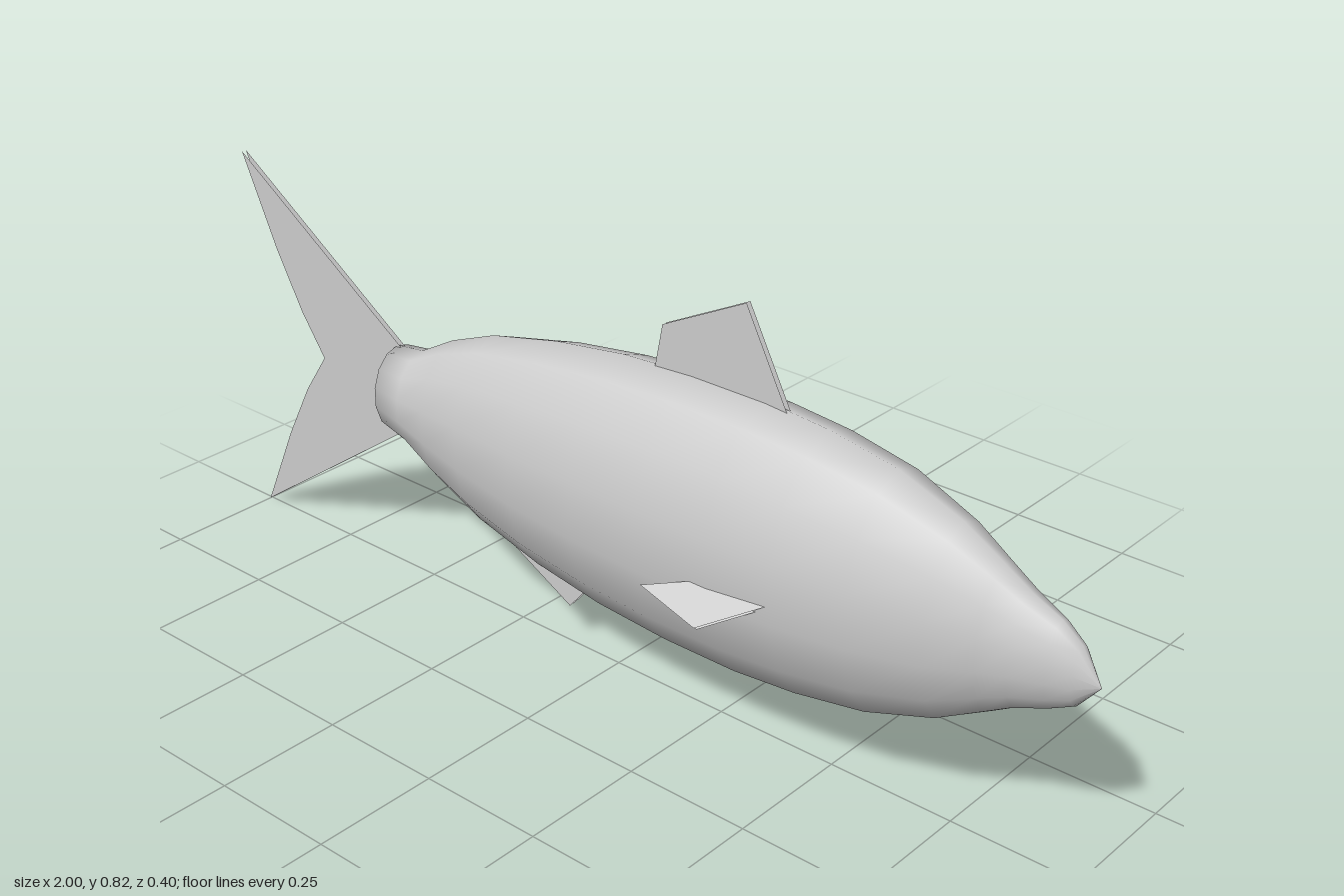
import * as THREE from 'three';

const SIDES = 14;

// Body stations from tail to nose: x, centre y, half height, half width
const STATIONS = [
  [-0.59, 0.4, 0, 0],
  [-0.575, 0.402, 0.09, 0.067],
  [-0.505, 0.398, 0.103, 0.076],
  [-0.42, 0.397, 0.151, 0.093],
  [-0.31, 0.397, 0.194, 0.114],
  [-0.15, 0.397, 0.23, 0.139],
  [0.01, 0.397, 0.253, 0.152],
  [0.17, 0.397, 0.263, 0.158],
  [0.33, 0.397, 0.263, 0.158],
  [0.46, 0.397, 0.253, 0.15],
  [0.6, 0.396, 0.23, 0.132],
  [0.73, 0.393, 0.184, 0.101],
  [0.81, 0.393, 0.138, 0.072],
  [0.86, 0.393, 0.108, 0.058],
  [0.92, 0.391, 0.082, 0.041],
  [0.96, 0.386, 0.056, 0.028],
  [1.0, 0.38, 0, 0],
];

// Smooth skin over elliptical cross-sections
function bodyGeometry() {
  const pos = [], index = [];
  STATIONS.forEach(([x, cy, ry, rz], i) => {
    for (let j = 0; j < SIDES; j++) {
      const t = (j / SIDES) * Math.PI * 2;
      pos.push(x, cy + ry * Math.cos(t), rz * Math.sin(t));
      if (i === STATIONS.length - 1) continue;
      const k = (j + 1) % SIDES;
      const a = i * SIDES + j, b = a + SIDES, c = i * SIDES + k, d = c + SIDES;
      if (i > 0) index.push(a, c, b);
      if (i < STATIONS.length - 2) index.push(c, d, b);
    }
  });
  // The last ring keeps its closing triangles from the loop above
  const geo = new THREE.BufferGeometry();
  geo.setAttribute('position', new THREE.Float32BufferAttribute(pos, 3));
  // Tail cap
  for (let j = 0; j < SIDES; j++) index.push(j, SIDES + ((j + 1) % SIDES), SIDES + j);
  geo.setIndex(index);
  geo.computeVertexNormals();
  return geo;
}

// A fin is two thin parallel sheets; place(v, side) positions each sheet's vertices
function fin(name, outline, material, place) {
  const group = new THREE.Group();
  group.name = name;
  const shape = new THREE.Shape(outline.map(([x, y]) => new THREE.Vector2(x, y)));
  for (const side of [-1, 1]) {
    const geo = new THREE.ShapeGeometry(shape);
    const p = geo.attributes.position;
    const v = new THREE.Vector3();
    for (let i = 0; i < p.count; i++) {
      place(v.fromBufferAttribute(p, i), side);
      p.setXYZ(i, v.x, v.y, v.z);
    }
    geo.computeVertexNormals();
    const sheet = new THREE.Mesh(geo, material);
    sheet.name = name + 'Sheet';
    group.add(sheet);
  }
  return group;
}

export function createModel() {
  const model = new THREE.Group();
  model.name = 'fish';
  const grey = new THREE.MeshStandardMaterial({ color: 0xcccccc, side: THREE.DoubleSide });
  grey.name = 'light grey';

  const body = new THREE.Mesh(bodyGeometry(), grey);
  body.name = 'body';
  model.add(body);

  // Upright fins on the centre line
  const upright = (v, side) => { v.z = side * 0.005; };
  model.add(fin('tailFin', [
    [-0.5, 0.45], [-0.57, 0.5], [-1, 0.79], [-0.915, 0.605], [-0.85, 0.486],
    [-0.79, 0.4], [-0.85, 0.312], [-0.915, 0.19], [-1, 0.005], [-0.57, 0.305], [-0.5, 0.35],
  ], grey, upright));
  model.add(fin('dorsalFin', [
    [0.08, 0.61], [0.104, 0.736], [0.285, 0.827], [0.4, 0.61],
  ], grey, upright));
  model.add(fin('analFin', [
    [-0.3, 0.24], [-0.26, 0.16], [-0.12, 0.085], [0.01, 0.24],
  ], grey, upright));

  // Side fins slope outward and down
  const sideFin = [[0.364, 0.39], [0.207, 0.336], [0.343, 0.313], [0.479, 0.39]];
  for (const [name, s] of [['frontSideFin', 1], ['backSideFin', -1]]) {
    model.add(fin(name, sideFin, grey, (v, side) => {
      const inner = side < 0 ? 1 : 0;
      v.z = s * (0.459 - v.y / 1.2 - inner * 0.0074);
      v.y -= inner * 0.006;
    }));
  }
  return model;
}
